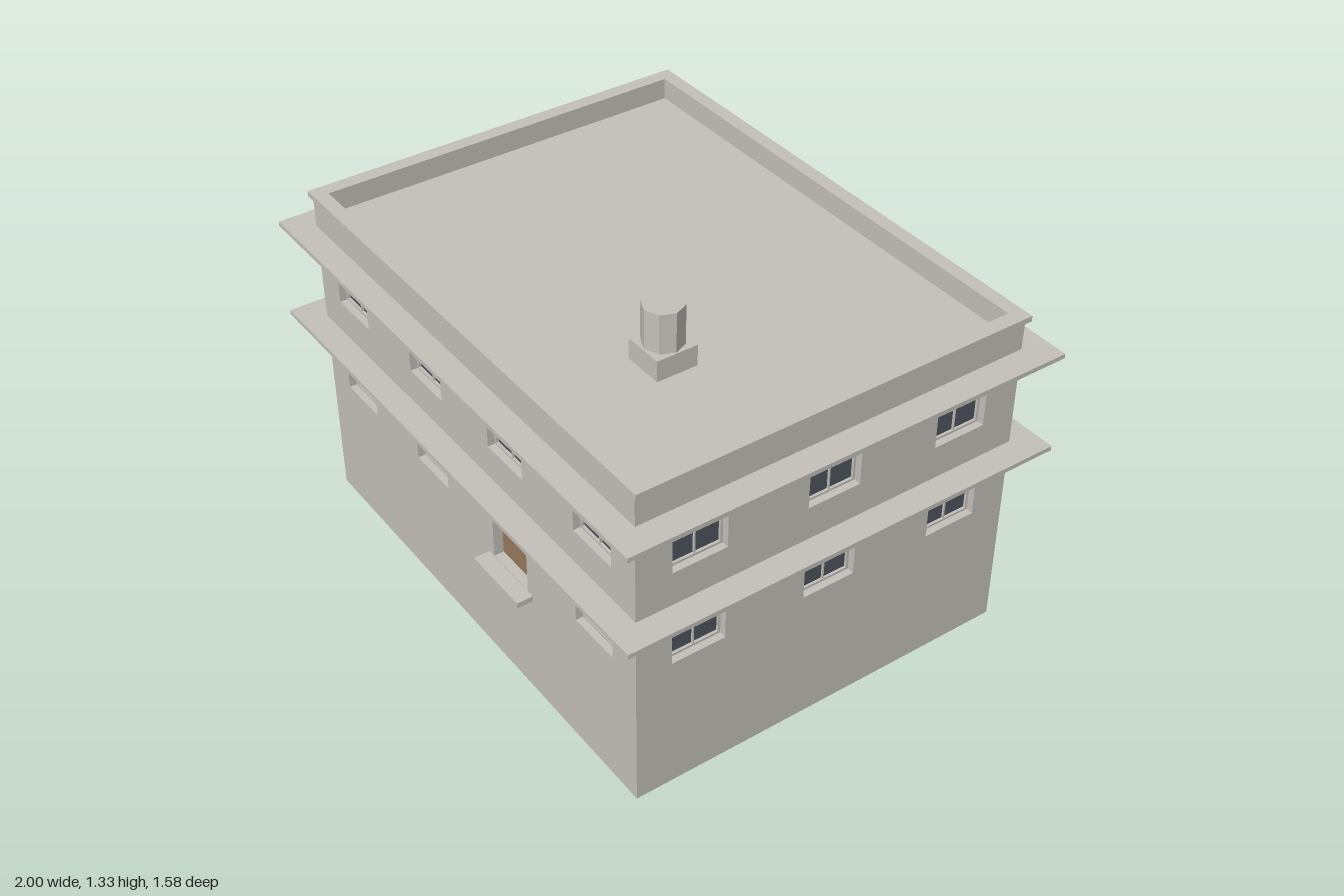
import * as THREE from 'three';

const stone = new THREE.MeshStandardMaterial({ color: 0xc4c0ba, side: THREE.DoubleSide });
stone.name = 'stone';
const glass = new THREE.MeshStandardMaterial({ color: 0x4d555e });
glass.name = 'window glass';
const wood = new THREE.MeshStandardMaterial({ color: 0x967a5c });
wood.name = 'door wood';

const HALF_X = 0.907, HALF_Z = 0.7, WALL_TOP = 1.177, DECK = 1.12, DEPTH = 0.04;

function add(parent, name, geometry, material, x = 0, y = 0, z = 0) {
  const mesh = new THREE.Mesh(geometry, material);
  mesh.name = name;
  mesh.position.set(x, y, z);
  parent.add(mesh);
  return mesh;
}

const box = (w, h, d) => new THREE.BoxGeometry(w, h, d);

// Traces a centred rectangle into a Shape or Path
function rect(target, cx, cy, w, h) {
  target.moveTo(cx - w / 2, cy - h / 2);
  target.lineTo(cx + w / 2, cy - h / 2);
  target.lineTo(cx + w / 2, cy + h / 2);
  target.lineTo(cx - w / 2, cy + h / 2);
  target.closePath();
  return target;
}

// Rectangular tube along +z
function ringGeometry(w, h, innerW, innerH, depth) {
  const shape = rect(new THREE.Shape(), 0, 0, w, h);
  shape.holes.push(rect(new THREE.Path(), 0, 0, innerW, innerH));
  return new THREE.ExtrudeGeometry(shape, { depth, bevelEnabled: false });
}

// Horizontal band running round the house
function band(parent, name, outX, outZ, inX, inZ, y0, y1) {
  const geometry = ringGeometry(outX * 2, outZ * 2, inX * 2, inZ * 2, y1 - y0);
  add(parent, name, geometry.rotateX(-Math.PI / 2), stone, 0, y0, 0);
}

// Recessed opening filled with a window or the door
function opening(parent, o) {
  const group = new THREE.Group();
  group.name = o.door ? 'door' : 'window';
  group.position.set(o.x, o.y, 0);
  parent.add(group);
  const reveal = ringGeometry(o.w, o.h, o.w - 0.004, o.h - 0.004, DEPTH);
  add(group, 'reveal', reveal, stone, 0, 0, -DEPTH);
  if (o.door) {
    add(group, 'doorPanel', box(o.w - 0.004, o.h - 0.004, 0.006), wood, 0, 0, -DEPTH + 0.003);
    return;
  }
  const w = o.w - 0.02, h = o.h - 0.02;
  add(group, 'pane', box(o.w - 0.004, o.h - 0.004, 0.006), glass, 0, 0, -DEPTH + 0.003);
  add(group, 'frame', ringGeometry(o.w - 0.004, o.h - 0.004, w, h, 0.01), stone, 0, 0, -DEPTH + 0.005);
  add(group, 'mullion', box(0.005, h, 0.008), stone, 0, 0, -DEPTH + 0.009);
  add(group, 'transom', box(w, 0.006, 0.008), stone, 0, 0.028, -DEPTH + 0.01);
}

// One thin wall with its openings cut out
function wall(parent, name, halfWidth, distance, angle, openings) {
  const group = new THREE.Group();
  group.name = name;
  group.rotation.y = angle;
  parent.add(group);
  const face = new THREE.Group();
  face.position.z = distance;
  group.add(face);
  const shape = rect(new THREE.Shape(), 0, WALL_TOP / 2, halfWidth * 2, WALL_TOP);
  for (const o of openings) {
    shape.holes.push(rect(new THREE.Path(), o.x, o.y, o.w, o.h));
    opening(face, o);
  }
  add(face, 'wallFace', new THREE.ShapeGeometry(shape), stone);
}

export function createModel() {
  const house = new THREE.Group();
  house.name = 'house';

  // Two storeys of windows; the door takes one place at the front
  const windows = (columns) => [0.58, 0.929].flatMap((y) =>
    columns.map((x) => ({ x, y, w: 0.195, h: 0.186 })));
  const longSide = [-0.693, -0.231, 0.231, 0.693];
  const shortSide = [-0.48, 0, 0.48];
  const front = windows(longSide);
  front[2] = { x: 0.231, y: 0.536, w: 0.198, h: 0.272, door: true };

  wall(house, 'frontWall', HALF_X, HALF_Z, 0, front);
  wall(house, 'backWall', HALF_X, HALF_Z, Math.PI, windows(longSide));
  wall(house, 'leftWall', HALF_Z, HALF_X, Math.PI / 2, windows(shortSide));
  wall(house, 'rightWall', HALF_Z, HALF_X, -Math.PI / 2, windows(shortSide));

  // Doorstep
  add(house, 'doorstep', box(0.252, 0.02, 0.057), stone, 0.231, 0.39, HALF_Z + 0.0285);

  // Projecting ledges above each storey
  for (const y of [0.703, 1.054]) band(house, 'ledge', 1, 0.789, HALF_X, HALF_Z, y, y + 0.016);

  // Flat roof behind a capped parapet
  add(house, 'roofDeck', box(HALF_X * 2 - 0.01, 0.01, HALF_Z * 2 - 0.01), stone, 0, DECK - 0.005, 0);
  band(house, 'parapet', HALF_X - 0.002, HALF_Z - 0.002, 0.873, 0.66, DECK, WALL_TOP);
  band(house, 'parapetCap', 0.924, 0.709, 0.873, 0.66, WALL_TOP, 1.196);

  // Eight-sided chimney on a square base
  add(house, 'chimneyBase', box(0.144, 0.073, 0.144), stone, 0.4, DECK + 0.0365, 0.249);
  const flue = new THREE.CylinderGeometry(0.067, 0.067, 0.14, 8).toNonIndexed();
  flue.computeVertexNormals();
  add(house, 'chimney', flue, stone, 0.4, 1.26, 0.249);

  return house;
}
